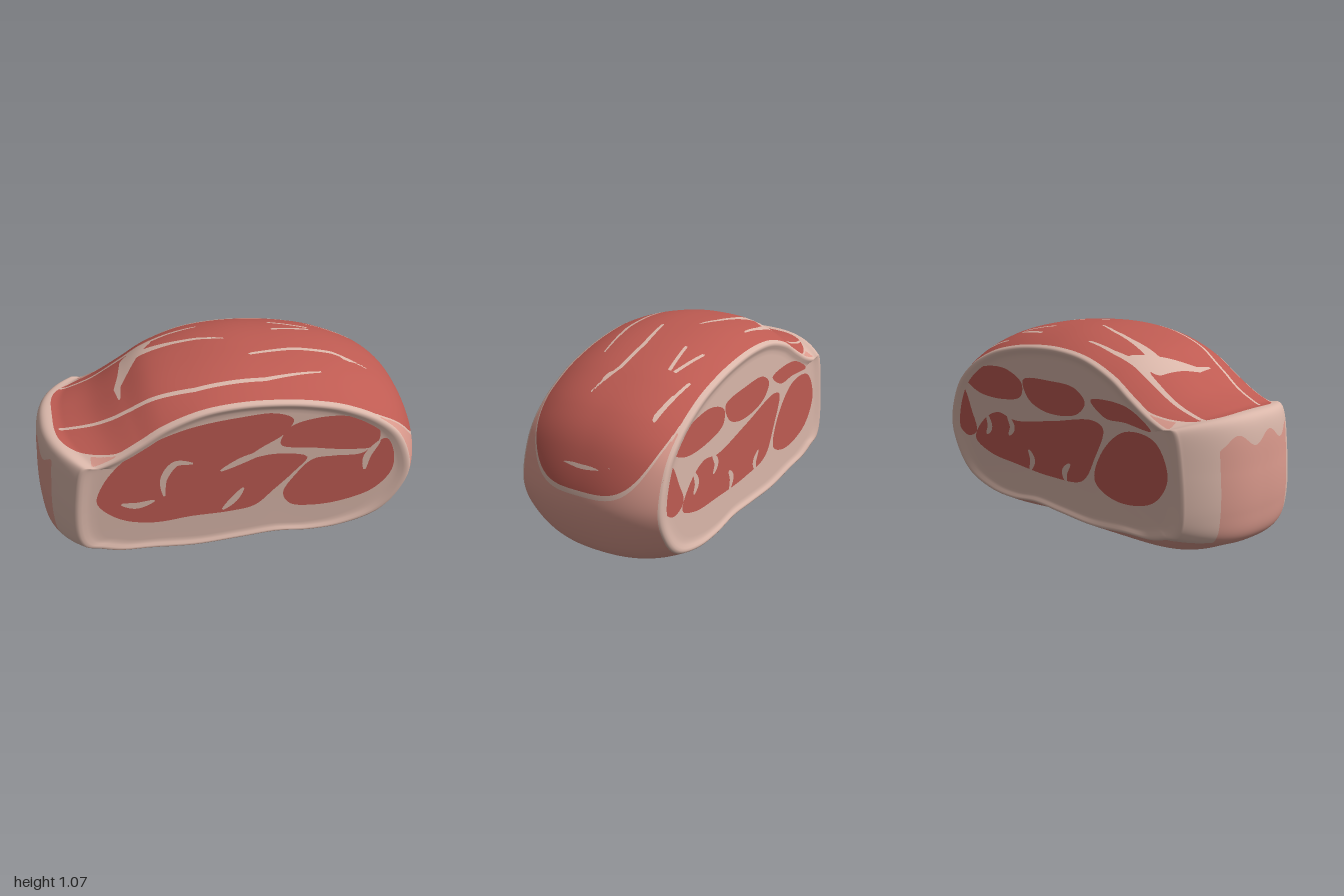
import * as THREE from 'three';

const mat = (name, color) => Object.assign(new THREE.MeshStandardMaterial({ color }), { name });
const V2 = (p) => new THREE.Vector2(p[0], p[1]);
const clamp01 = (t) => Math.min(1, Math.max(0, t));

// Paired outline points: x, y at the middle of the slab, then x, y at the cut rim
const OUTLINE = [
  [-.97, .74, -.80, .70], [-.85, .77, -.72, .71], [-.70, .82, -.62, .75], [-.55, .91, -.50, .82],
  [-.40, 1.0, -.37, .90], [-.20, 1.05, -.19, .965], [0, 1.07, 0, .985], [.20, 1.06, .19, .975],
  [.40, 1.03, .37, .945], [.60, .97, .55, .89], [.80, .86, .73, .79], [.93, .70, .85, .66],
  [1.0, .45, .91, .46], [.93, .22, .86, .30], [.80, .10, .75, .18], [.60, .03, .57, .12],
  [.40, .015, .39, .11], [.20, .02, .20, .13], [0, .04, 0, .12], [-.25, .02, -.24, .11],
  [-.50, .003, -.47, .13], [-.70, .03, -.63, .14], [-.85, .09, -.74, .17], [-.97, .16, -.82, .20],
  [-1.0, .30, -.85, .30], [-1.0, .50, -.84, .50],
];

// Closed slab surface: bulging side wall, rounded lip, slightly sunken cut faces
function slabGeometry() {
  const cols = 320, sideRows = 80;
  const loop = (k) => new THREE.CatmullRomCurve3(
    OUTLINE.map((p) => new THREE.Vector3(p[k], p[k + 1], 0)), true, 'catmullrom', 0.5);
  const mid = loop(0), rim = loop(2);
  const cap = [[.992, .398], [.975, .401], [.955, .399], [.93, .392], [.90, .388], [.86, .387], [0, .387]];
  const rows = [];
  for (let i = 0; i <= sideRows; i++) rows.push([1, -.39 + .78 * i / sideRows]);
  for (const [s, z] of cap) { rows.push([s, z]); rows.unshift([s, -z]); }
  const pos = [], index = [];
  rows.forEach(([s, z], i) => {
    const f = Math.pow(Math.min(1, Math.abs(z) / .39), 2.4);
    for (let j = 0; j < cols; j++) {
      const p = mid.getPoint(j / cols).lerp(rim.getPoint(j / cols), s < 1 ? 1 : f);
      pos.push(.02 + (p.x - .02) * s, .5 + (p.y - .5) * s, z);
      if (i === rows.length - 1) continue;
      const a = i * cols + j, b = i * cols + (j + 1) % cols;
      index.push(a, a + cols, b, b, a + cols, b + cols);
    }
  });
  const g = new THREE.BufferGeometry();
  g.setAttribute('position', new THREE.Float32BufferAttribute(pos, 3));
  g.setIndex(index);
  g.computeVertexNormals();
  return g;
}

// Positive inside a tapered stroke of [a, b, radius] points
function stroke(points, a, b) {
  let best = -1;
  for (let i = 0; i < points.length - 1; i++) {
    const [ax, ay, ar] = points[i], [bx, by, br] = points[i + 1];
    const dx = bx - ax, dy = by - ay;
    const t = clamp01(((a - ax) * dx + (b - ay) * dy) / (dx * dx + dy * dy));
    best = Math.max(best, ar + (br - ar) * t - Math.hypot(a - ax - dx * t, b - ay - dy * t));
  }
  return best;
}

// Fat streaks over the top (x, z) and round the right end (z, y)
const TOP_STREAKS = [
  [[-.84, -.25, .008], [-.6, -.26, .012], [-.42, -.26, .02], [-.27, -.28, .012], [-.1, -.28, .006]],
  [[-.38, -.25, .03], [-.47, -.18, .055], [-.52, -.06, .03], [-.56, .02, .018], [-.56, .11, .006]],
  [[-.42, -.16, .03], [-.25, -.14, .014], [-.12, -.12, .01], [.01, -.08, .006]],
  [[.11, .08, .008], [.35, .04, .011], [.55, .04, .011], [.73, .1, .005]],
  [[-.87, .12, .008], [-.6, .2, .01], [-.2, .265, .012], [.15, .265, .011], [.45, .21, .005]],
  [[.28, -.26, .008], [.48, -.22, .009]], [[.5, -.31, .007], [.75, -.27, .009]],
  [[.28, -.16, .008], [.48, -.19, .009]],
];
const END_STREAKS = [
  [[.13, .64, .006], [0, .63, .011], [-.15, .645, .006]],
  [[-.27, .86, .012], [-.3, .95, .008]], [[.08, .95, .008], [.03, 1.02, .015]],
];

// Surface regions, tested in order; each is positive inside
const redTop = (p) => {
  const z4 = Math.pow(p.z / .35, 4);
  const low = .68 + (.52 - .68) * clamp01(p.x / .4) + .22 * z4 * clamp01(p.x / .4);
  return Math.min(p.y - low, p.x + .9 - .22 * z4, .377 - Math.abs(p.z));
};
const fatStreak = (p) => {
  let d = -1;
  if (p.y > .6) for (const s of TOP_STREAKS) d = Math.max(d, stroke(s, p.x, p.z));
  if (p.x > .6) for (const s of END_STREAKS) d = Math.max(d, stroke(s, p.z, p.y));
  return d;
};
const pinkSide = (p) => {
  const patch = Math.min(.25 - Math.abs(p.z), .65 - p.y + .03 * Math.sin(p.z * 30), -.8 - p.x);
  return Math.min(.386 - Math.abs(p.z), -.025 - redTop(p), Math.max(p.x + .74, .16 - p.y, patch));
};

// Splits triangles along the region borders and returns one geometry per region
function paint(geometry, fields) {
  const P = geometry.attributes.position, N = geometry.attributes.normal, I = geometry.index;
  const out = [...fields, null].map(() => ({ p: [], n: [] }));
  const clip = (poly, d, sign) => {
    const res = [];
    poly.forEach((a, i) => {
      const k = (i + 1) % poly.length, b = poly[k], da = d[i] * sign, db = d[k] * sign;
      if (da >= 0) res.push(a);
      if ((da > 0 && db < 0) || (da < 0 && db > 0)) {
        const t = da / (da - db);
        res.push({ p: a.p.clone().lerp(b.p, t), n: a.n.clone().lerp(b.n, t).normalize() });
      }
    });
    return res;
  };
  for (let i = 0; i < I.count; i += 3) {
    let poly = [0, 1, 2].map((k) => ({
      p: new THREE.Vector3().fromBufferAttribute(P, I.getX(i + k)),
      n: new THREE.Vector3().fromBufferAttribute(N, I.getX(i + k)),
    }));
    const emit = (o, q) => {
      for (let k = 1; k < q.length - 1; k++) for (const v of [q[0], q[k], q[k + 1]]) {
        o.p.push(v.p.x, v.p.y, v.p.z);
        o.n.push(v.n.x, v.n.y, v.n.z);
      }
    };
    fields.forEach((field, f) => {
      if (poly.length < 3) return;
      const d = poly.map((v) => field(v.p) || -1e-9);
      if (d.every((x) => x < 0)) return;
      emit(out[f], clip(poly, d, 1));
      poly = clip(poly, d, -1);
    });
    emit(out[fields.length], poly);
  }
  return out.map(({ p, n }) => {
    const g = new THREE.BufferGeometry();
    g.setAttribute('position', new THREE.Float32BufferAttribute(p, 3));
    g.setAttribute('normal', new THREE.Float32BufferAttribute(n, 3));
    return g;
  });
}

// Muscle outlines and marbling lines on each cut face
const FRONT = {
  muscles: [
    [[-.73, .47], [-.70, .58], [-.6, .71], [-.45, .81], [-.25, .88], [0, .91], [.18, .91], [.27, .86],
      [.23, .78], [.1, .70], [.03, .645], [.18, .655], [.35, .61], [.29, .53], [.18, .42], [.08, .33],
      [-.05, .31], [-.25, .31], [-.45, .30], [-.62, .35]],
    [[.21, .71], [.25, .81], [.38, .85], [.55, .84], [.7, .77], [.73, .69], [.7, .625], [.55, .63], [.38, .665]],
    [[.23, .39], [.29, .5], [.38, .59], [.5, .595], [.64, .59], [.76, .67], [.81, .58], [.81, .45],
      [.72, .34], [.55, .285], [.38, .28], [.27, .31]],
  ],
  veins: [
    [[-.39, .47], [-.39, .58], [-.33, .67], [-.24, .66]], [[-.61, .45], [-.53, .43], [-.44, .45]],
    [[-.09, .33], [-.03, .39], [.02, .46]], [[-.1, .59], [.02, .645], [.13, .68]],
    [[.66, .48], [.67, .57], [.73, .66]],
  ],
};
const BACK = {
  muscles: [
    [[.87, .62], [.80, .66], [.73, .54], [.69, .43], [.77, .39], [.85, .44]],
    [[.79, .73], [.64, .80], [.43, .82], [.30, .76], [.31, .69], [.46, .65], [.68, .66]],
    [[.70, .39], [.62, .51], [.5, .57], [.36, .55], [.07, .60], [-.24, .66], [-.31, .63], [-.25, .47],
      [-.16, .33], [.07, .30], [.36, .31], [.58, .33]],
    [[.29, .78], [.07, .81], [-.11, .80], [-.18, .74], [-.12, .67], [.11, .64], [.25, .69]],
    [[-.22, .76], [-.36, .78], [-.5, .76], [-.63, .68], [-.46, .69], [-.32, .69]],
    [[-.66, .63], [-.74, .47], [-.65, .33], [-.40, .28], [-.25, .35], [-.30, .51], [-.46, .645]],
  ],
  veins: [
    [[.42, .57], [.38, .51], [.41, .46]], [[.24, .3], [.22, .36], [.25, .41]],
    [[-.04, .3], [-.03, .35], [-.07, .4]], [[.6, .55], [.57, .48], [.6, .43]],
  ],
};

// Tapered flat ribbon outline along a line
function ribbon(points, width) {
  const line = new THREE.SplineCurve(points.map(V2)), left = [], right = [], n = 16;
  for (let i = 0; i <= n; i++) {
    const p = line.getPoint(i / n), t = line.getTangent(i / n);
    const w = width * (.25 + .75 * Math.sin(Math.PI * i / n));
    left.push(new THREE.Vector2(p.x - t.y * w, p.y + t.x * w));
    right.unshift(new THREE.Vector2(p.x + t.y * w, p.y - t.x * w));
  }
  return new THREE.Shape([...left, ...right]);
}

function cutFace(name, { muscles, veins }, side, red, pale) {
  const group = new THREE.Group();
  group.name = name;
  const place = (pts) => pts.map(([x, y]) => [x * side, y]);
  const add = (label, shape, z, material) => {
    const mesh = new THREE.Mesh(new THREE.ShapeGeometry(shape), material);
    mesh.name = label;
    mesh.position.z = z;
    group.add(mesh);
  };
  for (const m of muscles) {
    const curve = new THREE.CatmullRomCurve3(place(m).map(([x, y]) => new THREE.Vector3(x, y, 0)), true);
    add('muscle', new THREE.Shape(curve.getPoints(100).slice(0, -1).map((p) => new THREE.Vector2(p.x, p.y))), .391, red);
  }
  for (const v of veins) add('marbling', ribbon(place(v), .02), .394, pale);
  if (side < 0) group.rotation.y = Math.PI;
  return group;
}

export function createModel() {
  const model = new THREE.Group();
  model.name = 'steak';
  const red = mat('red meat', 0xbe5b52), pale = mat('pale fat', 0xdab7aa), pink = mat('pink fat', 0xd9998c);

  // Slab skin, one mesh per colour region
  const parts = paint(slabGeometry(), [fatStreak, redTop, pinkSide]);
  [['fatStreaks', pale], ['meatTop', red], ['pinkFatSide', pink], ['fatRind', pale]].forEach(([name, m], i) => {
    const mesh = new THREE.Mesh(parts[i], m);
    mesh.name = name;
    model.add(mesh);
  });

  // Cut faces
  model.add(cutFace('frontCut', FRONT, 1, red, pale), cutFace('backCut', BACK, -1, red, pale));
  return model;
}
